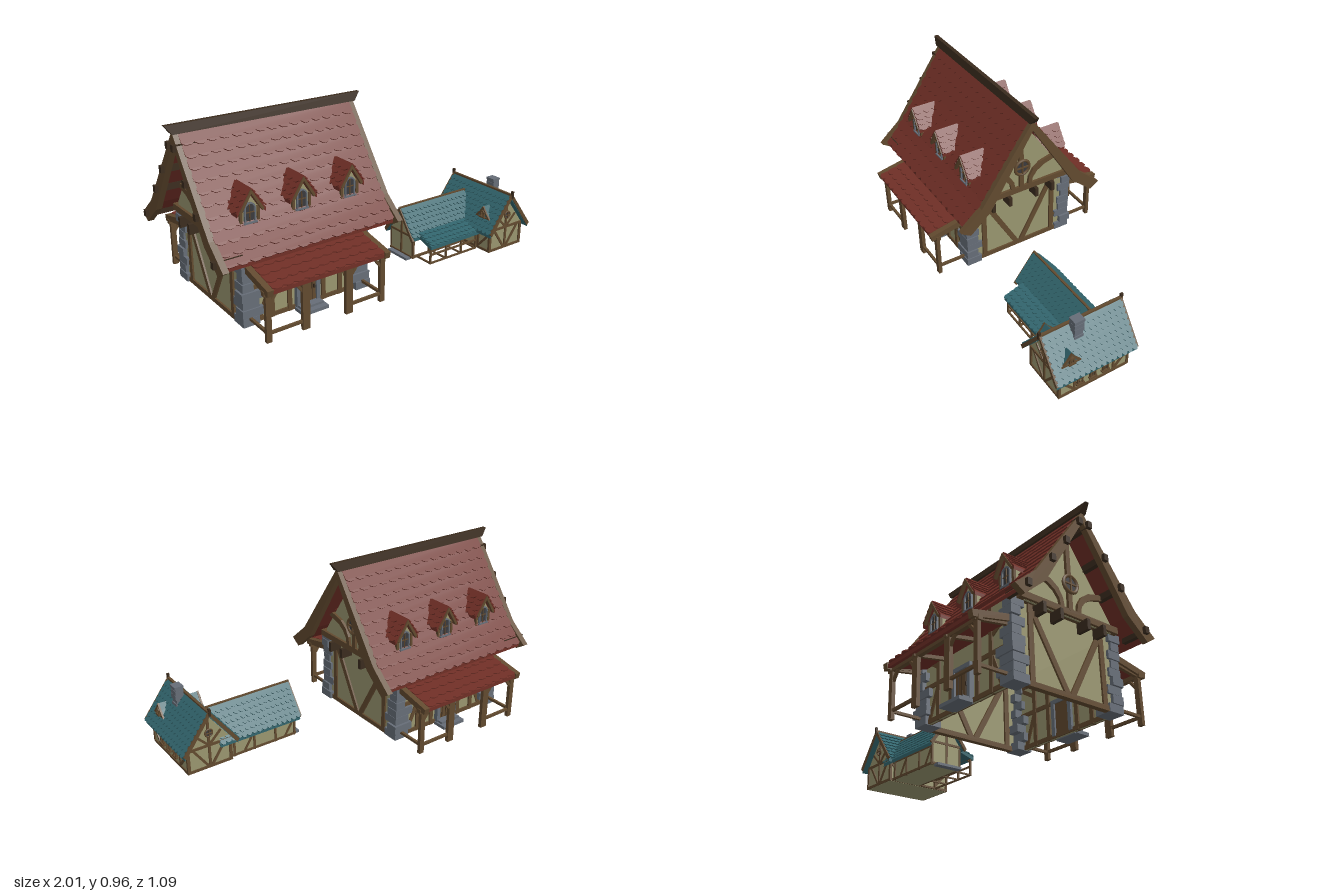
import * as THREE from 'three';
import { mergeGeometries } from 'three/addons/utils/BufferGeometryUtils.js';

const mat = (name, color) => Object.assign(new THREE.MeshStandardMaterial({ color }), { name });
const M = {
  plaster: mat('plaster', 0x99966f), timber: mat('timber', 0x624a2f), dark: mat('darkTimber', 0x3b2c1e),
  red: mat('redTiles', 0x702f26), teal: mat('tealTiles', 0x32656d), stone: mat('stone', 0x666d77),
  glass: mat('glass', 0x3a3a3d),
};

let seed = 7;
const rnd = () => (seed = (seed * 16807) % 2147483647) / 2147483647;

function add(g, name, geo, m) {
  const mesh = new THREE.Mesh(geo, m);
  mesh.name = name;
  g.add(mesh);
  return mesh;
}
function group(parent, name, x = 0, y = 0, z = 0, ry = 0) {
  const g = new THREE.Group();
  g.name = name;
  g.position.set(x, y, z);
  g.rotation.y = ry;
  parent.add(g);
  return g;
}
const box = (g, name, m, w, h, d, x, y, z) =>
  add(g, name, new THREE.BoxGeometry(w, h, d).translate(x, y, z), m);

// Square timber running from a to b
function beam(g, name, a, b, t = 0.022, m = M.timber, w = t) {
  const A = new THREE.Vector3(...a), B = new THREE.Vector3(...b);
  const mesh = add(g, name, new THREE.BoxGeometry(w, t, A.distanceTo(B)), m);
  mesh.position.copy(A).add(B).multiplyScalar(0.5);
  mesh.quaternion.setFromRotationMatrix(new THREE.Matrix4().lookAt(B, A, new THREE.Vector3(0, 1, 0)));
  return mesh;
}
const shape = pts => new THREE.Shape(pts.map(p => new THREE.Vector2(...p)));
const extrude = (s, depth) => new THREE.ExtrudeGeometry(s, { depth, bevelEnabled: false, curveSegments: 8 });
// Outline in (x, y), extruded from z0 to z1
const plateXY = (g, name, m, pts, z0, z1) => add(g, name, extrude(shape(pts), z1 - z0).translate(0, 0, z0), m);
// Outline in (z, y), extruded from x0 to x1
const plateZY = (g, name, m, pts, x0, x1) =>
  add(g, name, extrude(shape(pts), x1 - x0).rotateY(-Math.PI / 2).translate(x1, 0, 0), m);
const mirrored = pts => [...pts, ...pts.map(([u, v]) => [-u, v]).reverse()];
// Closed chevron from outer and inner half profiles, both listed from the ridge down
const chevron = (outer, inner) => [
  ...outer.slice().reverse().map(([u, v]) => [-u, v]), ...outer.slice(1),
  ...inner.slice().reverse(), ...inner.slice(1).map(([u, v]) => [-u, v]),
];

// Roof slope falling toward +z: a slab under overlapping rows of scalloped tiles
function tiledSlope(g, m, profile, x0, x1, rows, tile = 0.06) {
  const path = new THREE.CurvePath();
  for (let i = 1; i < profile.length; i++)
    path.add(new THREE.LineCurve(new THREE.Vector2(...profile[i - 1]), new THREE.Vector2(...profile[i])));
  plateZY(g, 'roofSlab', m, [...profile, ...profile.map(([z, y]) => [z, y - 0.02]).reverse()], x0, x1);
  const n = Math.round((x1 - x0) / tile), w = (x1 - x0) / n, geos = [];
  for (let i = 0; i < rows; i++) {
    const p = path.getPoint(i / rows), q = path.getPoint(Math.min(1, (i + 1.1) / rows));
    const d = q.clone().sub(p).normalize();
    q.add(new THREE.Vector2(-d.y, d.x).multiplyScalar(0.007));
    const len = p.distanceTo(q), pts = [[x1, 0], [x0, 0]];
    for (let k = 0; k < n; k++) {
      const x = x0 + k * w, drop = len + rnd() * 0.006;
      pts.push([x, -len + 0.006], [x + w * 0.3, -drop - 0.004], [x + w * 0.7, -drop - 0.004]);
    }
    pts.push([x1, -len + 0.006]);
    geos.push(extrude(shape(pts), 0.006).rotateX(Math.atan2(p.x - q.x, p.y - q.y)).translate(0, p.y, p.x));
  }
  add(g, 'roofTiles', mergeGeometries(geos), m);
}

// Arched window facing +z with frame and glazing bars
function archWindow(g, x, y, z, w, h, pane = M.glass, frameMat = M.timber) {
  const win = group(g, 'window', x, y, z);
  const arch = r => {
    const s = new THREE.Shape().moveTo(-r, 0);
    s.lineTo(r, 0).lineTo(r, h - w / 2).absarc(0, h - w / 2, r, 0, Math.PI, false);
    return s;
  };
  const frame = arch(w / 2);
  frame.holes.push(arch(w / 2 - 0.007));
  add(win, 'windowPane', new THREE.ShapeGeometry(arch(w / 2 - 0.003)).translate(0, 0, 0.003), pane);
  add(win, 'windowFrame', extrude(frame, 0.012), frameMat);
  box(win, 'mullion', M.timber, 0.004, h, 0.006, 0, h / 2, 0.005);
  box(win, 'glazingBar', M.timber, w, 0.004, 0.006, 0, h * 0.5, 0.005);
  box(win, 'sill', frameMat, w + 0.012, 0.008, 0.018, 0, 0, 0.006);
}

// Round window with a cross, facing +z
function roundWindow(g, x, y, z, r) {
  const win = group(g, 'roundWindow', x, y, z);
  add(win, 'roundPane', new THREE.CircleGeometry(r, 20).translate(0, 0, 0.01), M.glass);
  add(win, 'roundFrame', new THREE.TorusGeometry(r * 0.88, r * 0.18, 6, 20).translate(0, 0, 0.01), M.timber);
  box(win, 'crossBar', M.timber, r * 1.8, r * 0.15, 0.01, 0, 0, 0.012);
  box(win, 'crossBar', M.timber, r * 0.15, r * 1.8, 0.01, 0, 0, 0.012);
}

function dormer(g, x) {
  const d = group(g, 'dormer', x);
  plateXY(d, 'dormerWall', M.plaster, mirrored([[0.048, 0.505], [0.048, 0.59], [0, 0.665]]), 0.17, 0.285);
  archWindow(d, 0, 0.52, 0.285, 0.06, 0.1, M.glass, M.stone);
  for (const s of [1, -1]) {
    box(d, 'dormerPost', M.timber, 0.014, 0.09, 0.014, s * 0.046, 0.55, 0.285);
    tiledSlope(group(d, 'dormerSlope', 0, 0, 0.228, s * Math.PI / 2), M.red, [[0, 0.69], [0.076, 0.585]], -0.08, 0.08, 4, 0.05);
  }
  plateXY(d, 'dormerBarge', M.timber, chevron([[0, 0.69], [0.066, 0.585]], [[0, 0.668], [0.056, 0.575]]), 0.298, 0.314);
}

function porch(g) {
  const p = group(g, 'porch');
  tiledSlope(p, M.red, [[0.31, 0.332], [0.535, 0.282]], -0.32, 0.32, 4);
  for (const s of [1, -1]) {
    beam(p, 'porchBarge', [s * 0.335, 0.318, 0.32], [s * 0.335, 0.272, 0.54], 0.034, M.timber, 0.032);
    beam(p, 'sideRail', [s * 0.33, 0.05, 0.33], [s * 0.33, 0.05, 0.5], 0.014);
    beam(p, 'frontRail', [s * 0.33, 0.05, 0.5], [s * 0.125, 0.05, 0.5], 0.014);
    for (const x of [0.125, 0.33]) {
      box(p, 'porchPost', M.timber, x < 0.2 ? 0.04 : 0.028, 0.265, 0.02, s * x, 0.1375, 0.5);
      beam(p, 'porchBrace', [s * x, 0.19, 0.5], [s * (x < 0.2 ? x + 0.05 : x - 0.05), 0.255, 0.5], 0.014);
      beam(p, 'porchRafter', [s * x, 0.295, 0.32], [s * x, 0.262, 0.52], 0.018);
    }
  }
  box(p, 'porchBeam', M.timber, 0.71, 0.024, 0.024, 0, 0.262, 0.5);
}

// One long side of the house: wall, door, roof slope, dormers and porch
function houseSide(g) {
  box(g, 'longWall', M.plaster, 0.7, 0.44, 0.01, 0, 0.23, 0.31);
  for (const y of [0.022, 0.2, 0.36]) box(g, 'wallRail', M.timber, 0.7, 0.022, 0.026, 0, y, 0.31);
  for (const s of [1, -1]) {
    for (const x of [0.1, 0.2]) box(g, 'wallPost', M.timber, 0.024, 0.42, 0.028, s * x, 0.22, 0.31);
    beam(g, 'upperBrace', [s * 0.32, 0.36, 0.31], [s * 0.21, 0.29, 0.31]);
    beam(g, 'lowerBrace', [s * 0.2, 0.2, 0.31], [s * 0.27, 0.03, 0.31]);
    box(g, 'doorJamb', M.stone, 0.022, 0.18, 0.05, s * 0.058, 0.11, 0.315);
  }
  box(g, 'doorLintel', M.stone, 0.14, 0.02, 0.05, 0, 0.2, 0.315);
  box(g, 'door', M.timber, 0.1, 0.16, 0.03, 0, 0.11, 0.315);
  for (const x of [-0.025, 0, 0.025]) box(g, 'doorGroove', M.dark, 0.003, 0.15, 0.002, x, 0.11, 0.331);
  box(g, 'doorHandle', M.dark, 0.008, 0.02, 0.008, 0.036, 0.11, 0.333);
  box(g, 'upperStep', M.stone, 0.13, 0.03, 0.06, 0, 0.02, 0.345);
  box(g, 'lowerStep', M.stone, 0.15, 0.018, 0.08, 0, 0.014, 0.365);
  tiledSlope(g, M.red, [[0, 0.915], [0.15, 0.7], [0.3, 0.49], [0.4, 0.382]], -0.485, 0.485, 11, 0.065);
  for (const x of [-0.285, 0, 0.285]) dormer(g, x);
  porch(g);
}

// One gable end, facing +x
function houseGable(g, purlins) {
  box(g, 'lowerGableWall', M.plaster, 0.01, 0.41, 0.62, 0.35, 0.215, 0);
  plateZY(g, 'upperGableWall', M.plaster, mirrored([[0.275, 0.41], [0.275, 0.46], [0, 0.87]]), 0.375, 0.385);
  plateZY(g, 'bargeBoard', M.timber, chevron([[0, 0.925], [0.315, 0.487], [0.44, 0.38]],
    [[0, 0.868], [0.262, 0.45], [0.385, 0.345]]), 0.48, 0.512);
  box(g, 'tieBeam', M.timber, 0.06, 0.034, 0.62, 0.37, 0.428, 0);
  box(g, 'sillBeam', M.timber, 0.03, 0.026, 0.62, 0.35, 0.022, 0);
  box(g, 'kingPost', M.timber, 0.025, 0.43, 0.026, 0.388, 0.65, 0);
  roundWindow(group(g, 'gableWindow', 0.395, 0, 0, Math.PI / 2), 0, 0.575, 0, 0.05);
  for (const s of [1, -1]) {
    box(g, 'gablePost', M.timber, 0.03, 0.4, 0.028, 0.35, 0.22, s * 0.223);
    box(g, 'gableRail', M.timber, 0.026, 0.022, 0.08, 0.35, 0.12, s * 0.27);
    beam(g, 'gableDiagonal', [0.35, 0.03, s * 0.015], [0.35, 0.38, s * 0.21], 0.03);
    for (const z of [0.085, 0.19]) box(g, 'joistEnd', M.dark, 0.09, 0.055, 0.02, 0.38, 0.385, s * z);
    // Curved brace from tie beam to rafter
    const arc = [[0.04, 0.44], [0.048, 0.49], [0.075, 0.535], [0.12, 0.567], [0.2, 0.588]];
    const arcIn = [[0.225, 0.565], [0.14, 0.54], [0.1, 0.515], [0.072, 0.48], [0.065, 0.44]];
    plateZY(g, 'curvedBrace', M.timber, [...arc, ...arcIn].map(([z, y]) => [s * z, y]), 0.38, 0.4);
    if (purlins) for (const [z, y] of [[0.03, 0.855], [0.125, 0.71], [0.22, 0.58], [0.37, 0.4]])
      box(g, 'purlin', M.dark, 0.15, 0.035, 0.026, 0.455, y, s * z);
  }
}

// Stone corner built of uneven blocks, wider at the foot
function stoneCorner(g, sx, sz) {
  for (let i = 0, y = 0.008; i < 9; i++, y += 0.046) {
    const long = i % 2, foot = i < 4 ? 0.03 : 0, j = rnd() * 0.012;
    const w = 0.06 + foot + long * 0.025, d = 0.055 + foot * 0.5 + (1 - long) * 0.022;
    box(g, 'cornerStone', M.stone, w, 0.043, d, sx * (0.376 - j + foot * 0.1 - w / 2), y + 0.022, sz * (0.347 - j - d / 2));
  }
}

function house(root) {
  const h = group(root, 'mainHouse', -0.45);
  for (const s of [1, -1]) {
    const turn = s > 0 ? 0 : Math.PI;
    houseSide(group(h, 'longSide', 0, 0, 0, turn));
    houseGable(group(h, 'gableEnd', 0, 0, 0, turn), s < 0);
    for (const sz of [1, -1]) stoneCorner(h, s, sz);
  }
  // Ridge beam, flaring out toward the top
  const ridge = new THREE.BoxGeometry(1, 0.045, 1), p = ridge.attributes.position;
  for (let i = 0; i < p.count; i++) {
    const top = p.getY(i) > 0;
    p.setX(i, Math.sign(p.getX(i)) * (top ? 0.55 : 0.515));
    p.setZ(i, Math.sign(p.getZ(i)) * (top ? 0.011 : 0.021));
  }
  ridge.computeVertexNormals();
  add(h, 'ridgeBeam', ridge.translate(0, 0.937, 0), M.dark);
}

function cottage(root) {
  const c = group(root, 'cottage', 0.84, 0, 0.23);
  plateXY(c, 'cottageWalls', M.plaster, mirrored([[0.122, 0.008], [0.122, 0.15], [0, 0.312]]), -0.2, 0.2);
  for (const s of [1, -1]) {
    // Roof slope, eyebrow dormer and side wall
    const side = group(c, 'cottageSide', 0, 0, 0, s * Math.PI / 2);
    tiledSlope(side, M.teal, [[0, 0.335], [0.15, 0.134]], -0.232, 0.232, 8, 0.03);
    const e = group(side, 'eyebrowDormer', -s * 0.13);
    plateXY(e, 'eyebrowRoof', M.teal, mirrored([[0.05, 0.2], [0.022, 0.235], [0, 0.268]]), 0.03, 0.112);
    plateXY(e, 'eyebrowTrim', M.timber, chevron([[0, 0.27], [0.024, 0.235], [0.056, 0.2]], [[0, 0.256], [0.017, 0.23], [0.04, 0.2]]), 0.108, 0.118);
    box(e, 'eyebrowSill', M.timber, 0.1, 0.007, 0.012, 0, 0.203, 0.112);
    archWindow(e, 0, 0.205, 0.111, 0.03, 0.04);
    for (const y of [0.016, 0.128]) box(side, 'sideRail', M.timber, 0.41, 0.014, 0.01, 0, y, 0.123);
    for (const x of [-0.2, -0.115, 0.115, 0.2]) box(side, 'sidePost', M.timber, 0.013, 0.125, 0.012, x, 0.075, 0.122);
    for (const k of [1, -1]) beam(side, 'sideBrace', [k * 0.2, 0.12, 0.123], [k * 0.12, 0.03, 0.123], 0.012);
    if (s > 0) [-0.085, -0.01, 0.065].forEach((x, i) => archWindow(side, x, 0.05, 0.122, 0.034, 0.056, i ? M.glass : M.plaster));
    // Gable front
    const f = group(c, 'cottageGable', 0, 0, 0, s > 0 ? 0 : Math.PI);
    plateXY(f, 'cottageBarge', M.timber, chevron([[0, 0.35], [0.157, 0.14]], [[0, 0.322], [0.143, 0.124]]), 0.226, 0.238);
    for (const y of [0.016, 0.14]) box(f, 'gableRail', M.timber, 0.25, 0.014, 0.012, 0, y, 0.2);
    box(f, 'gablePost', M.timber, 0.014, 0.29, 0.012, 0, 0.155, 0.2);
    box(f, 'finial', M.dark, 0.012, 0.04, 0.014, 0, 0.345, 0.236);
    roundWindow(f, 0, 0.215, 0.2, 0.024);
    for (const k of [1, -1]) {
      box(f, 'gableCorner', M.timber, 0.014, 0.13, 0.012, k * 0.118, 0.075, 0.2);
      beam(f, 'lowBrace', [k * 0.01, 0.02, 0.2], [k * 0.09, 0.135, 0.2], 0.013);
      beam(f, 'highBrace', [k * 0.01, 0.15, 0.2], [k * 0.07, 0.21, 0.2], 0.012);
    }
  }
  box(c, 'cottageRidge', M.timber, 0.014, 0.018, 0.48, 0, 0.338, 0);
  // Chimney of uneven stones
  for (let i = 0; i < 6; i++)
    box(c, 'chimneyStone', M.stone, 0.036 + rnd() * 0.012, 0.026, 0.044 + rnd() * 0.014, 0.035, 0.253 + i * 0.024, 0.05);
  box(c, 'chimneyCap', M.stone, 0.05, 0.014, 0.058, 0.035, 0.38, 0.05);
}

function wing(root) {
  const w = group(root, 'wing', 0.54, 0, 0.14);
  const back = group(w, 'wingBackSlope', 0, 0, 0, Math.PI);
  tiledSlope(back, M.teal, [[0, 0.285], [0.12, 0.125]], -0.24, 0.245, 6, 0.03);
  tiledSlope(w, M.teal, [[0, 0.285], [0.11, 0.14]], -0.245, 0.24, 6, 0.03);
  tiledSlope(w, M.teal, [[0.09, 0.158], [0.215, 0.118]], -0.195, 0.17, 4, 0.03);
  box(w, 'wingRidge', M.timber, 0.5, 0.014, 0.012, 0, 0.287, 0);
  plateZY(w, 'wingBarge', M.timber, chevron([[0, 0.295], [0.124, 0.13]], [[0, 0.27], [0.113, 0.115]]), -0.252, -0.24);
  // Outward-facing back wall, end wall and floor
  add(w, 'wingBackWall', new THREE.PlaneGeometry(0.4, 0.14).rotateY(Math.PI).translate(-0.025, 0.08, -0.093), M.plaster);
  add(w, 'wingEndWall', new THREE.ShapeGeometry(shape(mirrored([[0.093, 0.01], [0.093, 0.15], [0, 0.27]])))
    .rotateY(-Math.PI / 2).translate(-0.225, 0, 0), M.plaster);
  add(w, 'wingFloor', new THREE.PlaneGeometry(0.4, 0.186).rotateX(Math.PI / 2).translate(-0.025, 0.01, 0), M.plaster);
  for (const z of [-0.093, 0.093]) {
    for (const y of [0.016, 0.118]) box(w, 'wingRail', M.timber, 0.4, 0.012, 0.012, -0.025, y, z);
    for (const x of [-0.22, -0.1, 0.03, 0.15]) box(w, 'wingPost', M.timber, 0.012, 0.12, 0.012, x, 0.068, z);
  }
  for (const x of [-0.22, 0.03]) beam(w, 'wingBrace', [x, 0.115, -0.093], [x + 0.06, 0.02, -0.093], 0.011);
  for (const y of [0.016, 0.14]) box(w, 'endRail', M.timber, 0.012, 0.012, 0.19, -0.225, y, 0);
  box(w, 'endPost', M.timber, 0.012, 0.25, 0.012, -0.225, 0.14, 0);
  // Open walkway in front
  for (const x of [-0.185, -0.07, 0.045, 0.16]) {
    box(w, 'walkwayPost', M.timber, 0.01, 0.108, 0.01, x, 0.06, 0.2);
    box(w, 'walkwayJoist', M.timber, 0.01, 0.008, 0.11, x, 0.01, 0.145);
    beam(w, 'walkwayBrace', [x, 0.08, 0.2], [x + (x > 0.1 ? -0.025 : 0.025), 0.108, 0.2], 0.007);
  }
  for (const y of [0.01, 0.06, 0.108]) box(w, 'walkwayRail', M.timber, 0.355, 0.009, 0.009, -0.012, y, 0.2);
  box(w, 'endStone', M.stone, 0.04, 0.014, 0.16, -0.24, 0.007, 0);
}

export function createModel() {
  const root = new THREE.Group();
  root.name = 'timberFramedHouses';
  house(root);
  cottage(root);
  wing(root);
  return root;
}
